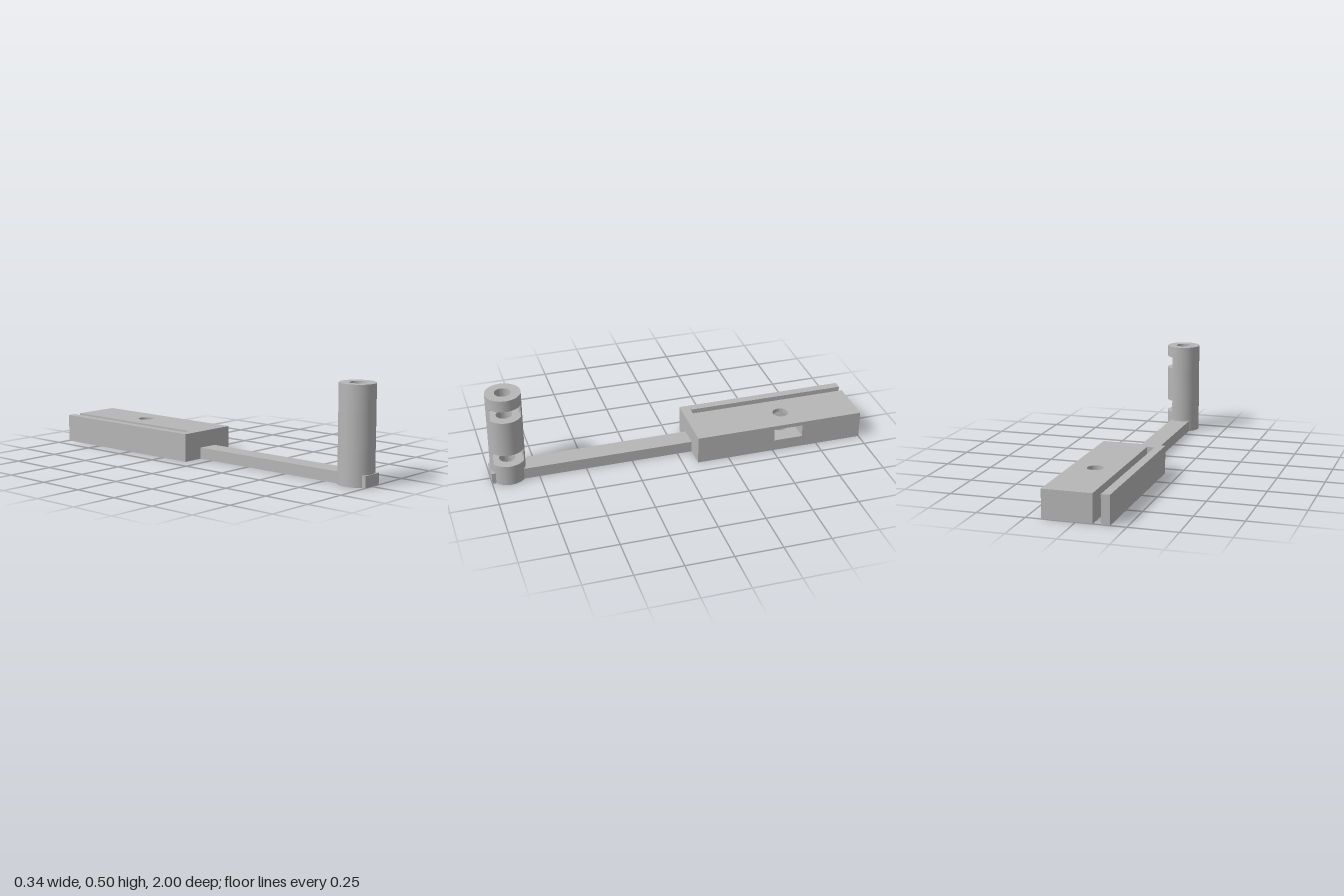
import * as THREE from 'three';
import { toCreasedNormals } from 'three/addons/utils/BufferGeometryUtils.js';

const POST_Z = 0.905, POST_R = 0.092, HOLE_R = 0.042;
const NUT_HALF = 0.0795, NUT_R = NUT_HALF / Math.cos(Math.PI / 6);
const ARM_HALF = 0.055, ARM_TOP = 0.06;
const BOLT_X = 0.042, BOLT_Z = -0.587;

export function createModel() {
  const group = new THREE.Group();
  const grey = new THREE.MeshStandardMaterial({ color: 0xb6b6b6 });
  grey.name = 'plain grey';

  // Plan shapes are drawn as (x, -z) and raised from y0 to y1
  function slab(name, shape, y0, y1, parent) {
    const raw = new THREE.ExtrudeGeometry(shape, { depth: y1 - y0, bevelEnabled: false, curveSegments: 28 });
    raw.rotateX(-Math.PI / 2).translate(0, y0, 0);
    const mesh = new THREE.Mesh(toCreasedNormals(raw, 0.4), grey);
    mesh.name = name;
    parent.add(mesh);
  }
  function drill(shape, x, z) {
    shape.holes.push(new THREE.Path().absarc(x, -z, HOLE_R, 0, Math.PI * 2, true));
    return shape;
  }
  // Inner wall of a nut trap that opens towards +x
  function nutWall(shape, x, z) {
    shape.lineTo(x - NUT_R / 2, -z - NUT_HALF);
    shape.lineTo(x - NUT_R, -z);
    shape.lineTo(x - NUT_R / 2, -z + NUT_HALF);
  }

  // Arm, merged with the round foot of the post
  const a = Math.acos(ARM_HALF / POST_R);
  const arm = new THREE.Shape();
  arm.moveTo(ARM_HALF, 0.08);
  arm.lineTo(-ARM_HALF, 0.08);
  arm.absarc(0, -POST_Z, POST_R, Math.PI - a, Math.PI + a, false);
  arm.lineTo(-ARM_HALF, -1);
  arm.lineTo(ARM_HALF, -1);
  arm.absarc(0, -POST_Z, POST_R, -a, a, false);
  slab('arm', drill(arm, 0, POST_Z), 0, ARM_TOP, group);

  // Post: solid rings alternating with nut trap layers
  const post = new THREE.Group();
  post.name = 'post';
  group.add(post);
  for (const [y0, y1] of [[ARM_TOP, 0.111], [0.178, 0.371], [0.438, 0.5]]) {
    const ring = new THREE.Shape().absarc(0, -POST_Z, POST_R, 0, Math.PI * 2, false);
    slab('postRing', drill(ring, 0, POST_Z), y0, y1, post);
  }
  const b = Math.asin(NUT_HALF / POST_R);
  for (const y0 of [0.111, 0.371]) {
    const wall = new THREE.Shape().absarc(0, -POST_Z, POST_R, b, Math.PI * 2 - b, false);
    nutWall(wall, 0, POST_Z);
    slab('postNutTrap', wall, y0, y0 + 0.067, post);
  }

  // Block with a long side slot, a bolt hole and a nut trap
  function blockShape(withTrap) {
    const s = new THREE.Shape();
    s.moveTo(-0.17, 0.08);
    s.lineTo(0.17, 0.08);
    if (withTrap) {
      s.lineTo(0.17, -BOLT_Z - NUT_HALF);
      nutWall(s, BOLT_X, BOLT_Z);
      s.lineTo(0.17, -BOLT_Z + NUT_HALF);
    }
    for (const [x, y] of [[0.17, 1], [-0.085, 1], [-0.085, 0.13], [-0.125, 0.13], [-0.125, 1], [-0.17, 1]]) s.lineTo(x, y);
    return withTrap ? s : drill(s, BOLT_X, BOLT_Z);
  }
  const block = new THREE.Group();
  block.name = 'block';
  group.add(block);
  slab('blockBase', blockShape(false), 0, 0.06, block);
  slab('blockNutTrap', blockShape(true), 0.06, 0.127, block);
  slab('blockTop', blockShape(false), 0.127, 0.148, block);

  return group;
}
